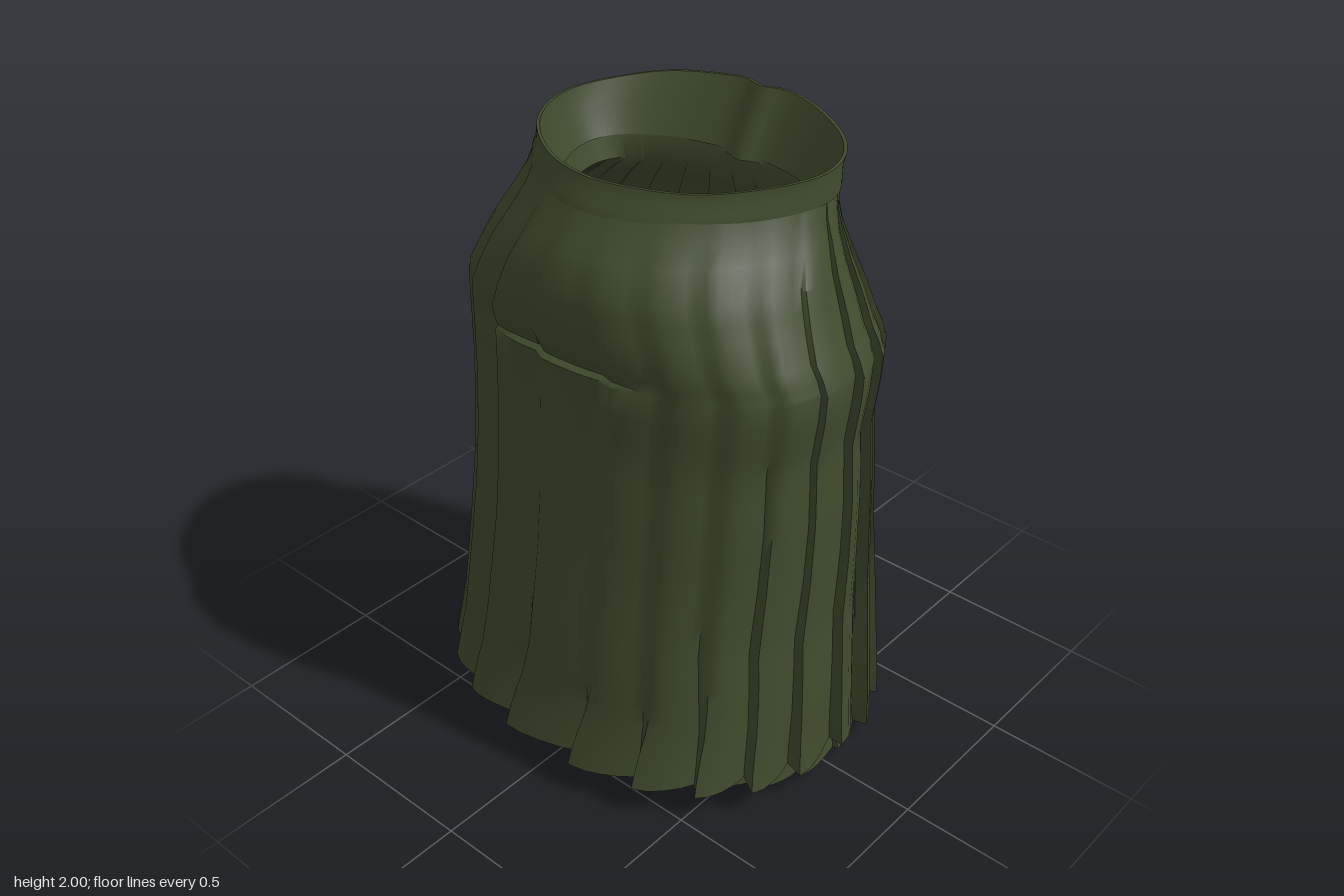
import * as THREE from 'three';
import { toCreasedNormals } from 'three/addons/utils/BufferGeometryUtils.js';

const PLEATS = 25;

// Rows: y, right x, left x, front z, back z, centre z, pleat depth
const BODY = [
  [0.10, -0.735, 0.735, 0.635, -0.64, 0.03, 0.075],
  [0.30, -0.705, 0.715, 0.59, -0.615, 0.02, 0.065],
  [0.58, -0.67, 0.685, 0.56, -0.60, 0.01, 0.055],
  [0.80, -0.655, 0.685, 0.53, -0.535, 0.0, 0.045],
  [1.00, -0.645, 0.685, 0.51, -0.505, 0.0, 0.04],
  [1.20, -0.645, 0.675, 0.49, -0.485, 0.0, 0.038],
  [1.35, -0.65, 0.695, 0.485, -0.485, 0.0, 0.036],
  [1.435, -0.652, 0.70, 0.483, -0.485, 0.0, 0.034],
  [1.445, -0.651, 0.695, 0.483, -0.48, 0.0, 0.034],
  [1.475, -0.645, 0.685, 0.488, -0.475, 0.0, 0.032],
  [1.52, -0.625, 0.66, 0.50, -0.463, 0.0, 0.03],
  [1.60, -0.585, 0.62, 0.50, -0.44, -0.02, 0.028],
  [1.70, -0.535, 0.578, 0.495, -0.40, -0.03, 0.022],
  [1.78, -0.497, 0.542, 0.455, -0.365, -0.05, 0.014],
  [1.84, -0.472, 0.515, 0.41, -0.375, -0.06, 0.006],
  [1.89, -0.46, 0.50, 0.378, -0.385, -0.07, 0],
];
const LINING = [
  [0.04, -0.70, 0.70, 0.47, -0.60, 0.0, 0.03],
  [0.30, -0.655, 0.665, 0.50, -0.555, 0.0, 0.03],
  [0.80, -0.61, 0.64, 0.485, -0.49, 0.0, 0.025],
  [1.20, -0.605, 0.635, 0.455, -0.445, 0.0, 0.02],
  [1.45, -0.605, 0.65, 0.435, -0.435, 0.0, 0.02],
  [1.60, -0.535, 0.57, 0.44, -0.395, -0.03, 0.015],
  [1.68, -0.45, 0.50, 0.36, -0.35, -0.06, 0.01],
  [1.74, -0.37, 0.42, 0.262, -0.31, -0.10, 0],
  [1.81, -0.39, 0.435, 0.285, -0.325, -0.09, 0],
];
const BAND = [
  [1.885, -0.455, 0.495, 0.37, -0.38, -0.08, 0],
  [1.88, -0.465, 0.505, 0.385, -0.39, -0.08, 0],
  [1.905, -0.464, 0.504, 0.375, -0.395, -0.08, 0],
  [1.935, -0.46, 0.50, 0.355, -0.41, -0.08, 0],
  [1.967, -0.462, 0.502, 0.345, -0.437, -0.08, 0],
  [1.967, -0.452, 0.492, 0.335, -0.427, -0.08, 0],
  [1.90, -0.435, 0.475, 0.33, -0.375, -0.08, 0],
  [1.80, -0.39, 0.435, 0.285, -0.325, -0.09, 0],
];

// Knife pleat outline: position within the pleat, height of the fold
const FOLD = [[-0.04, 1], [0.2, 0.92], [0.45, 0.68], [0.72, 0.36], [0.98, 0]];

// Adds in-between rows so that the folds bend softly
function refine(rows, step) {
  const out = [];
  rows.forEach((r, i) => {
    out.push(r);
    const n = rows[i + 1];
    if (!n) return;
    const count = Math.max(1, Math.round((n[0] - r[0]) / step));
    for (let k = 1; k < count; k++) out.push(r.map((v, j) => v + ((n[j] - v) * k) / count));
  });
  return out;
}

// Lofts a closed ring of pleats through the rows, from the right hip round the front.
// shape(point, s, p) may move each point; s is 1 at the front and -1 at the back.
function loft(rows, shape) {
  const pos = [], idx = [], n = PLEATS * FOLD.length;
  for (const [y, xr, xl, zf, zb, cz, depth] of rows) {
    const cx = (xr + xl) / 2, rx = (xl - xr) / 2;
    const narrow = THREE.MathUtils.smoothstep(y, 1.5, 1.85);
    const aboveHem = THREE.MathUtils.smoothstep(y, 0.1, 0.5);
    for (let p = 0; p < PLEATS; p++) {
      for (const [u, h] of FOLD) {
        // Folds are wider and softer over the front
        const soft = aboveHem * Math.max(0, Math.sin((2 * Math.PI * p) / PLEATS)) ** 2;
        const t = (2 * Math.PI * (p + u + 0.22 * soft * h)) / PLEATS;
        const base = t + 0.2 * (1 - Math.cos(t)) + 0.05;
        const back = Math.max(0, -Math.sin(base));
        const a = base + depth * Math.sin(y * 5 + base * 3) * (0.15 + 0.5 * back);
        const c = -Math.cos(a), s = Math.sin(a);
        // The waist is more pointed towards the front
        const e = 2 / (s > 0 ? 2.25 - 0.47 * narrow : 2.2 - 0.2 * narrow);
        const rz = s > 0 ? zf - cz : cz - zb;
        const off = depth * (1 - 0.5 * soft) * (h - 1) * (0.85 + 0.15 * Math.sin(p * 1.7 + y * 2));
        const point = new THREE.Vector3(
          cx + Math.sign(c) * rx * Math.abs(c) ** e + c * off, y,
          cz + Math.sign(s) * rz * Math.abs(s) ** e + s * off);
        shape(point, s, p);
        pos.push(point.x, point.y, point.z);
      }
    }
  }
  for (let j = 0; j < rows.length - 1; j++) {
    for (let i = 0; i < n; i++) {
      const a = j * n + i, b = j * n + ((i + 1) % n);
      idx.push(a, b, b + n, a, b + n, a + n);
    }
  }
  const g = new THREE.BufferGeometry();
  g.setAttribute('position', new THREE.Float32BufferAttribute(pos, 3));
  g.setIndex(idx);
  return toCreasedNormals(g, 0.95);
}

export function createModel() {
  const cloth = new THREE.MeshStandardMaterial({ color: 0x404b2e, side: THREE.DoubleSide });
  cloth.name = 'olive cloth';
  const group = new THREE.Group();
  group.name = 'pleatedSkirt';
  const add = (name, geometry) => {
    const mesh = new THREE.Mesh(geometry, cloth);
    mesh.name = name;
    group.add(mesh);
  };

  // Outer pleats: the hem hangs lower at the back, a short tuck crosses the front
  add('outerPleats', loft(refine(BODY, 0.06), (v, s) => {
    if (v.y < 0.11 && v.z < -0.12) v.y = 0.045;
    if (s > 0 && v.y > 1.44 && v.y < 1.48) {
      v.z -= (v.y < 1.46 ? 0.02 : 0.008) * Math.exp(-((v.x / 0.28) ** 4));
    }
  }));

  // Inner layer, showing below the front hem, with one loose corner
  add('innerLayer', loft(refine(LINING, 0.1), (v, s, p) => {
    if (v.y > 0.05) return;
    const loose = s > 0 && v.x > 0.29 && v.x < 0.45;
    v.y = loose ? Math.max(0, (v.x - 0.32) * 0.25) : v.y - 0.008 * Math.sin(p * 2.3) ** 2;
  }));

  // Waistband, rising and notched at the centre back
  add('waistband', loft(BAND, (v, s) => {
    const rise = Math.max(0, (v.y - 1.9) / 0.067);
    const wave = 0.005 * Math.sin(v.x * 17) * (1 - s ** 4);
    v.y += rise * (s < 0 ? 0.033 * Math.abs(s) ** 3 : -0.005 * s) + wave;
    if (s < 0) v.z += 0.03 * Math.exp(-(((v.x - 0.02) / 0.05) ** 2));
  }));
  return group;
}
